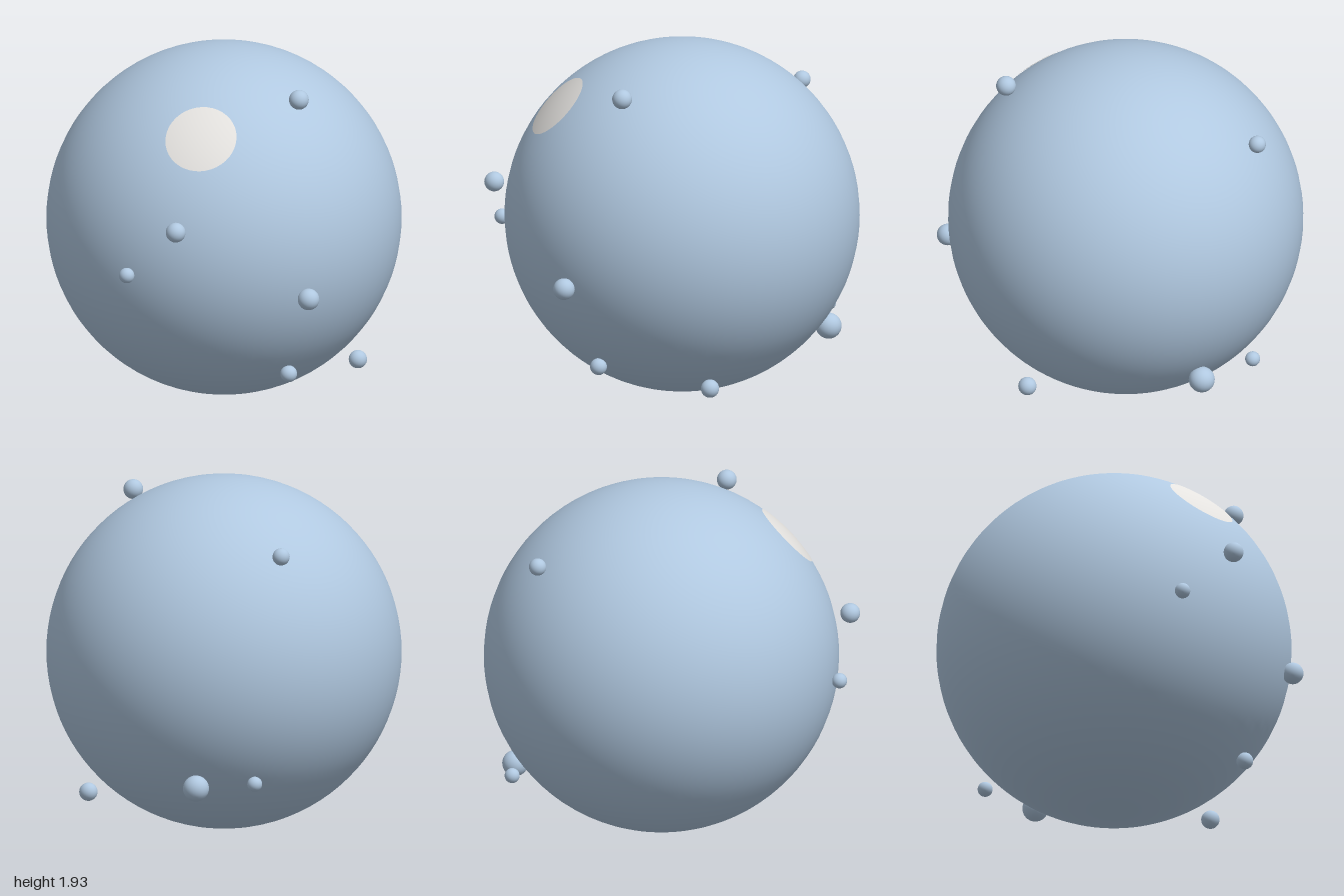
import * as THREE from 'three';

export function createModel() {
  const model = new THREE.Group();
  const blue = new THREE.MeshStandardMaterial({ color: 0xb0c8e0 });
  blue.name = 'paleBlue';
  const white = new THREE.MeshStandardMaterial({ color: 0xe4e2df });
  white.name = 'warmWhite';

  const radius = 0.965;
  const center = new THREE.Vector3(0, 0.966, -0.035);

  const add = (name, geometry, material, position) => {
    const mesh = new THREE.Mesh(geometry, material);
    mesh.name = name;
    mesh.position.copy(position);
    model.add(mesh);
    return mesh;
  };

  // Large ball
  add('bubble', new THREE.SphereGeometry(radius, 64, 48), blue, center);

  // Round shine patch: a thin cap hugging the ball, tipped to the upper front
  const cap = new THREE.SphereGeometry(radius + 0.003, 40, 8, 0, Math.PI * 2, 0, 0.203);
  const shine = add('shinePatch', cap, white, center);
  const direction = new THREE.Vector3(-0.397, 0.688, 0.608).normalize();
  shine.quaternion.setFromUnitVectors(new THREE.Vector3(0, 1, 0), direction);

  // Small droplets around the surface: x, y, z, radius
  const droplets = [
    [0.18, 1.79, 0.59, 0.054],
    [-0.625, 1.185, 0.78, 0.054],
    [-0.813, 0.895, 0.54, 0.042],
    [0.09, 0.766, 0.941, 0.059],
    [0.084, 0.268, 0.675, 0.046],
    [0.625, 0.195, 0.355, 0.05],
    [0.135, 1.597, -0.808, 0.047],
    [0.555, 0.333, -0.605, 0.071],
    [0.321, 0.366, -0.83, 0.041],
  ];
  droplets.forEach(([x, y, z, r], i) => {
    add(`droplet${i + 1}`, new THREE.SphereGeometry(r, 24, 16), blue, new THREE.Vector3(x, y, z));
  });

  return model;
}
